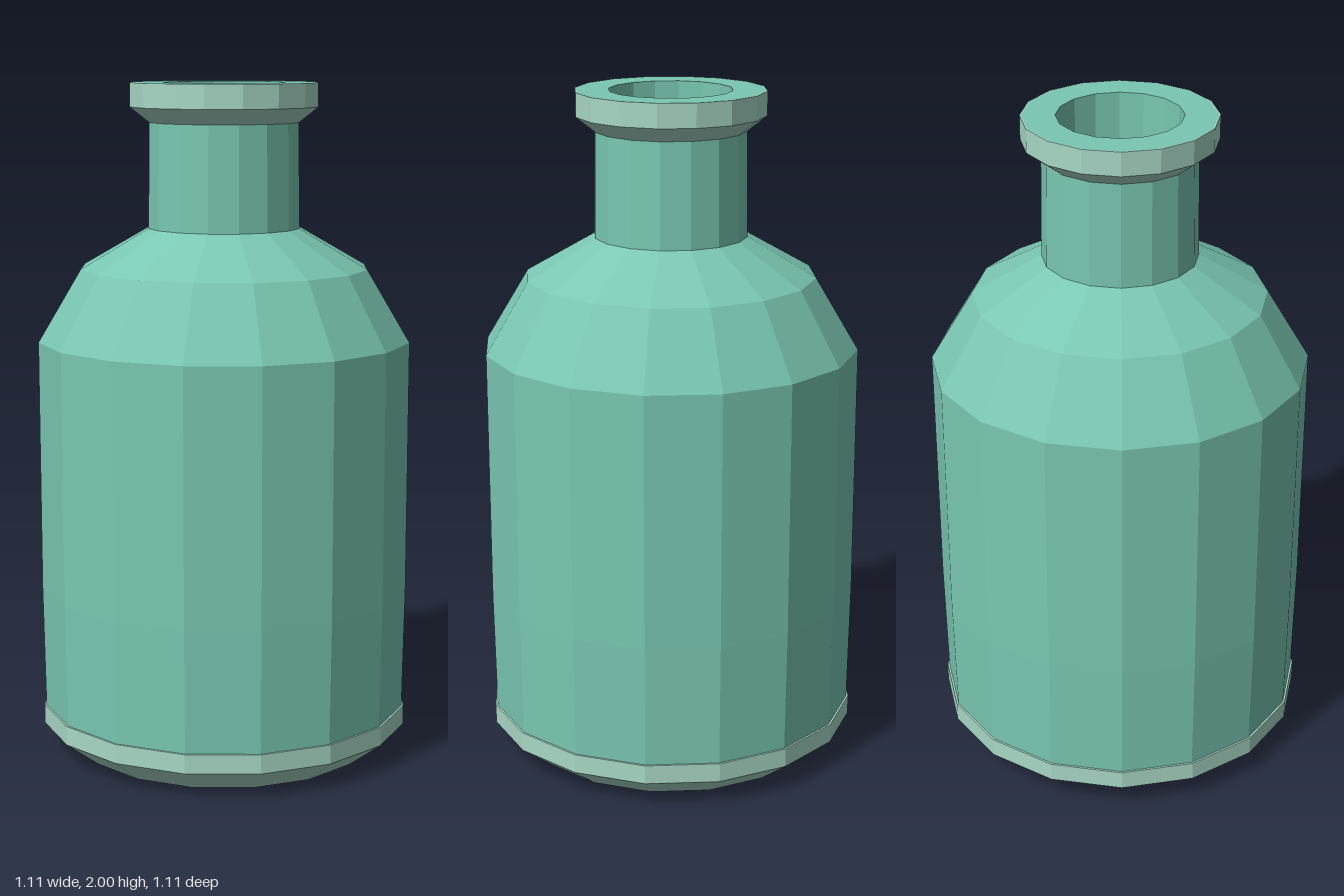
import * as THREE from 'three';

const SIDES = 16;

export function createModel() {
  const glass = new THREE.MeshStandardMaterial({ color: 0x7ac7b3, flatShading: true });
  glass.name = 'green glass';
  const pale = new THREE.MeshStandardMaterial({ color: 0xa8d8c6, flatShading: true });
  pale.name = 'pale glass edge';

  const bottle = new THREE.Group();
  bottle.name = 'bottle';

  // Turns a [radius, height] profile, listed from the underside up the outside
  const turn = (name, material, profile) => {
    const points = profile.map(([r, y]) => new THREE.Vector2(r, y));
    const mesh = new THREE.Mesh(new THREE.LatheGeometry(points, SIDES), material);
    mesh.name = name;
    bottle.add(mesh);
  };

  // Flat underside
  turn('underside', glass, [[0, 0], [0.45, 0]]);

  // Pale bevelled foot with a tiny ledge where it meets the body
  turn('footBand', pale, [[0.45, 0], [0.555, 0.08], [0.555, 0.137], [0.549, 0.137]]);

  // Body, two-step shoulder and neck
  turn('body', glass, [
    [0.549, 0.137], [0.555, 0.5], [0.555, 1.248],
    [0.428, 1.46], [0.226, 1.577], [0.222, 1.885],
  ]);

  // Pale lip around the mouth
  turn('lipBand', pale, [[0.222, 1.885], [0.279, 1.93], [0.279, 2], [0.275, 2]]);

  // Top ring, inner wall of the neck and shallow dished floor
  turn('mouth', glass, [[0.275, 2], [0.18, 2], [0.18, 1.58], [0, 1.564]]);

  return bottle;
}
